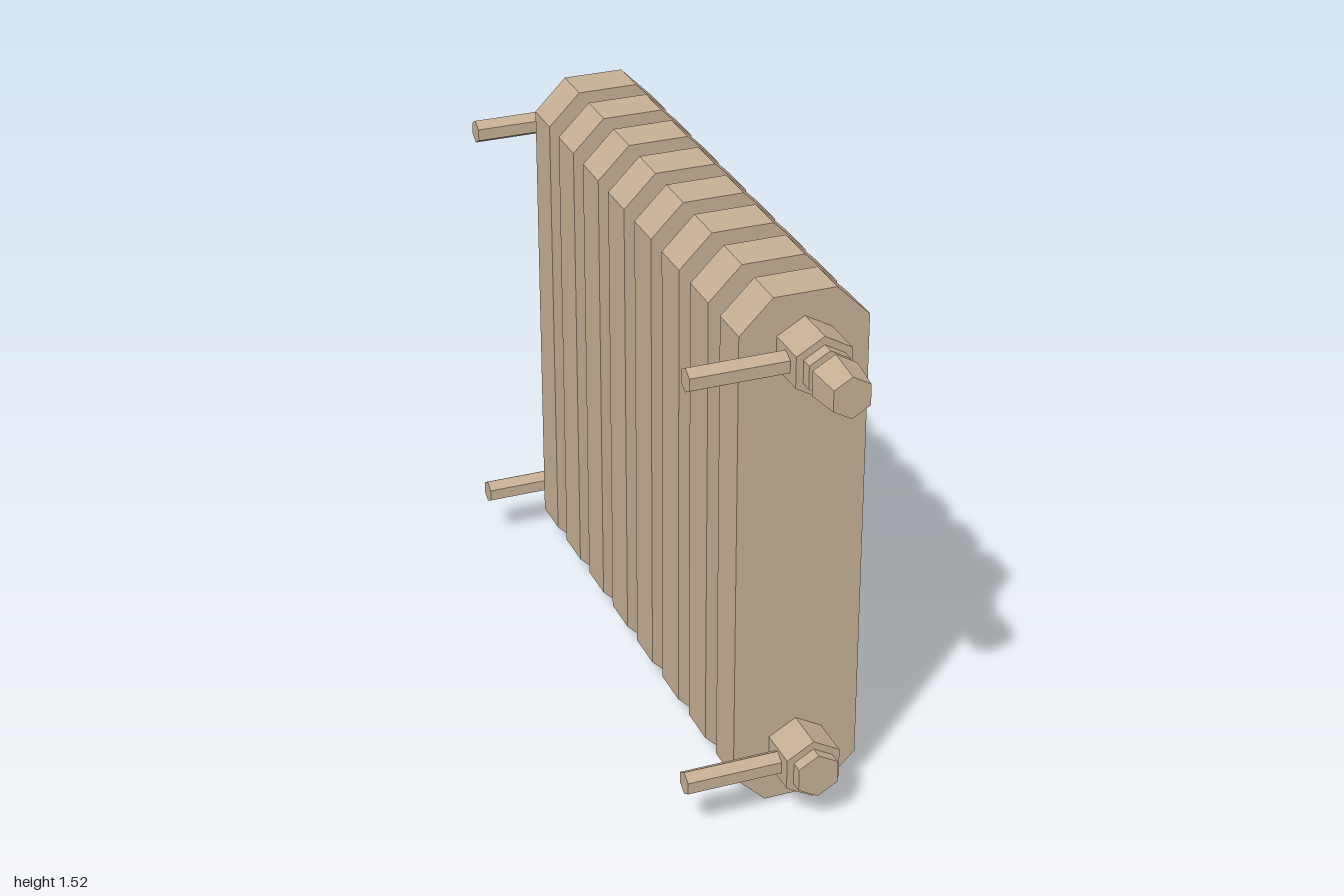
import * as THREE from 'three';

const material = new THREE.MeshStandardMaterial({ color: 0xc4ae94, flatShading: true });
const CX = 0.08;

function add(parent, name, geometry) {
  const mesh = new THREE.Mesh(geometry, material);
  mesh.name = name;
  parent.add(mesh);
  return mesh;
}

// Hexagonal bar along z with a corner pointing up
function hexBar(backRadius, frontRadius, z0, z1) {
  return new THREE.CylinderGeometry(frontRadius, backRadius, z1 - z0, 6)
    .rotateX(Math.PI / 2)
    .translate(0, 0, (z0 + z1) / 2);
}

// Upright fin with chamfered corners
function finGeometry(depth) {
  const w = 0.179, top = 1.52, c = 0.092;
  const shape = new THREE.Shape([
    [-w + c, 0], [w - c, 0], [w, c], [w, top - c],
    [w - c, top], [-w + c, top], [-w, top - c], [-w, c],
  ].map(([x, y]) => new THREE.Vector2(x, y)));
  return new THREE.ExtrudeGeometry(shape, { depth, bevelEnabled: false })
    .translate(0, 0, -depth / 2);
}

export function createModel() {
  const model = new THREE.Group();
  model.name = 'radiator';

  // Row of eight fins
  const fin = finGeometry(0.124);
  for (let i = 0; i < 8; i++) {
    add(model, 'fin', fin).position.set(CX, 0, 0.645 - i * 0.2035);
  }

  // Upper and lower pipes with end nuts and wall brackets
  for (const [label, y] of [['lower', 0.157], ['upper', 1.367]]) {
    const pipe = new THREE.Group();
    pipe.name = label + 'Pipe';
    pipe.position.set(CX, y, 0);
    model.add(pipe);
    add(pipe, 'pipe', hexBar(0.088, 0.088, -0.975, 0.83));
    add(pipe, 'frontNut', hexBar(0.065, 0.065, 0.82, 0.865));
    add(pipe, 'backNut', hexBar(0.065, 0.065, -1, -0.965));

    for (const z of [0.765, -0.9]) {
      const bracket = hexBar(0.034, 0.034, -0.345, -0.07).rotateY(Math.PI / 2);
      add(pipe, 'wallBracket', bracket).position.z = z;
    }

    // Valve on the front of the upper pipe
    if (label === 'upper') {
      add(pipe, 'valveNeck', hexBar(0.034, 0.034, 0.855, 0.905));
      add(pipe, 'valveKnob', hexBar(0.07, 0.058, 0.895, 1));
    }
  }
  return model;
}
